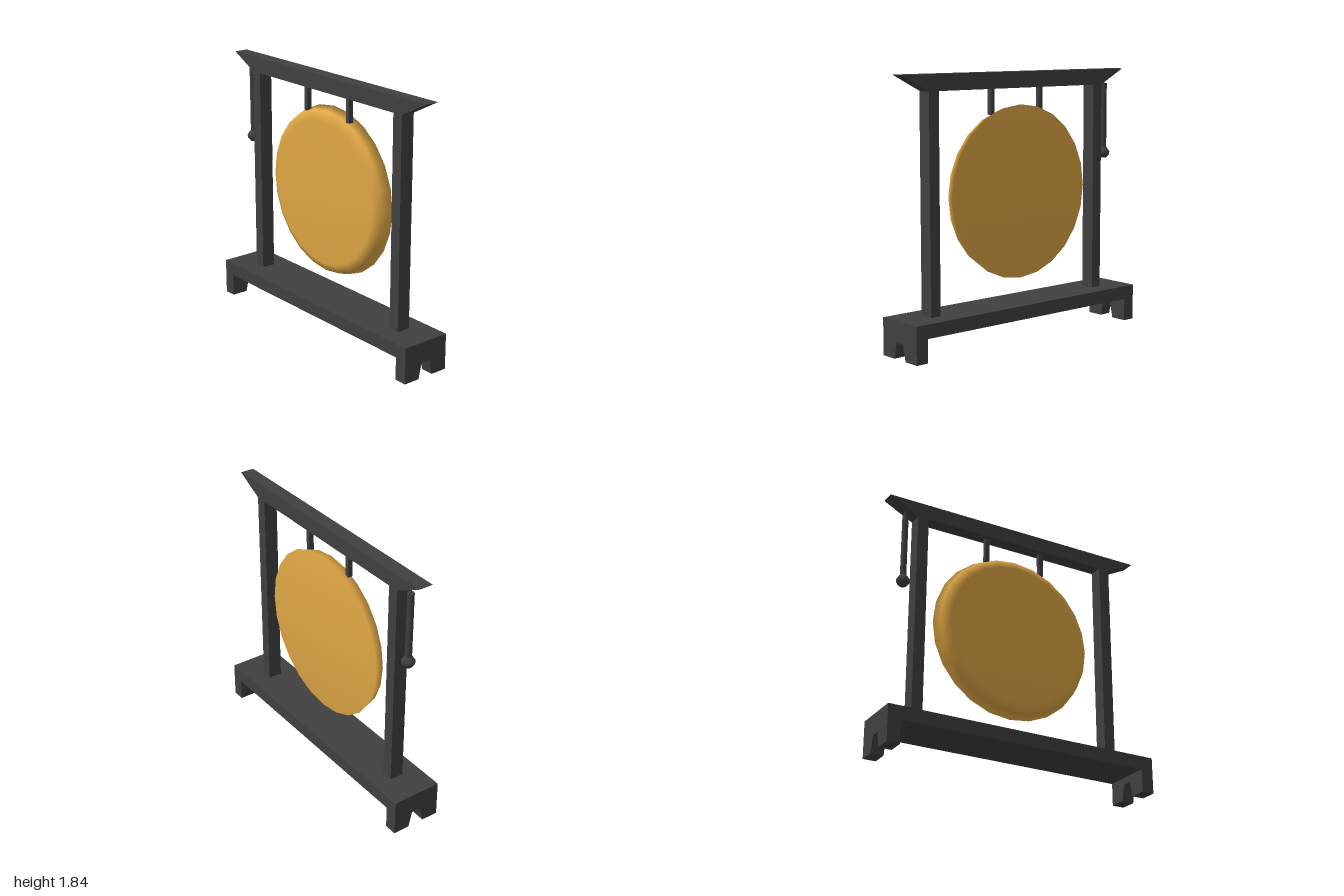
import * as THREE from 'three';

export function createModel() {
  const root = new THREE.Group();
  const dark = new THREE.MeshStandardMaterial({ color: 0x404040, flatShading: true });
  const darkSmooth = new THREE.MeshStandardMaterial({ color: 0x404040 });
  const gold = new THREE.MeshStandardMaterial({ color: 0xdfa744 });

  const add = (name, geometry, material, x = 0, y = 0, z = 0) => {
    const mesh = new THREE.Mesh(geometry, material);
    mesh.name = name;
    mesh.position.set(x, y, z);
    root.add(mesh);
    return mesh;
  };
  // Box given by its centre x, bottom, top, width and depth
  const box = (name, x, y0, y1, w, d) =>
    add(name, new THREE.BoxGeometry(w, y1 - y0, d), dark, x, (y0 + y1) / 2);
  // Outline extruded evenly about z = 0
  const slab = (points, depth) => {
    const shape = new THREE.Shape(points.map(([x, y]) => new THREE.Vector2(x, y)));
    return new THREE.ExtrudeGeometry(shape, { depth, bevelEnabled: false }).translate(0, 0, -depth / 2);
  };
  const lathe = (points, sides) =>
    new THREE.LatheGeometry(points.map(([r, y]) => new THREE.Vector2(r, y)), sides);

  // Base board and notched end feet
  box('baseBoard', 0, 0.16, 0.255, 2, 0.36);
  const footOutline = [
    [-0.18, 0], [-0.06, 0], [-0.035, 0.11], [0.035, 0.11],
    [0.06, 0], [0.18, 0], [0.18, 0.16], [-0.18, 0.16],
  ];
  for (const side of [-1, 1]) {
    const name = side > 0 ? 'left' : 'right';
    add(name + 'Foot', slab(footOutline, 0.09).rotateY(Math.PI / 2), dark, side * 0.955);
    box(name + 'Post', side * 0.742, 0.255, 1.73, 0.08, 0.1);
    box(name + 'Hanger', side * 0.22, 1.555, 1.73, 0.032, 0.035);
  }

  // Crossbeam with slanted ends
  add('crossbeam', slab([[-0.78, 1.73], [0.78, 1.73], [0.995, 1.84], [-0.995, 1.84]], 0.1), dark);

  // Gong disc: narrower face to the front, rounded rim, flat back
  const disc = lathe([[0, -0.053], [0.598, -0.053], [0.575, 0.02], [0.51, 0.055], [0, 0.055]], 24);
  add('gong', disc.rotateX(Math.PI / 2), gold, 0, 1.02);

  // Mallet hanging under the right end of the beam
  const mx = -0.855;
  add('malletCord', new THREE.CylinderGeometry(0.007, 0.007, 0.06, 6), darkSmooth, mx, 1.75);
  add('malletHandle', new THREE.CylinderGeometry(0.023, 0.023, 0.485, 8), darkSmooth, mx, 1.4925);
  const head = lathe([[0, -0.04], [0.026, -0.04], [0.045, -0.016], [0.047, 0.004], [0.026, 0.036], [0, 0.04]], 10);
  add('malletHead', head, darkSmooth, mx, 1.236);

  return root;
}
